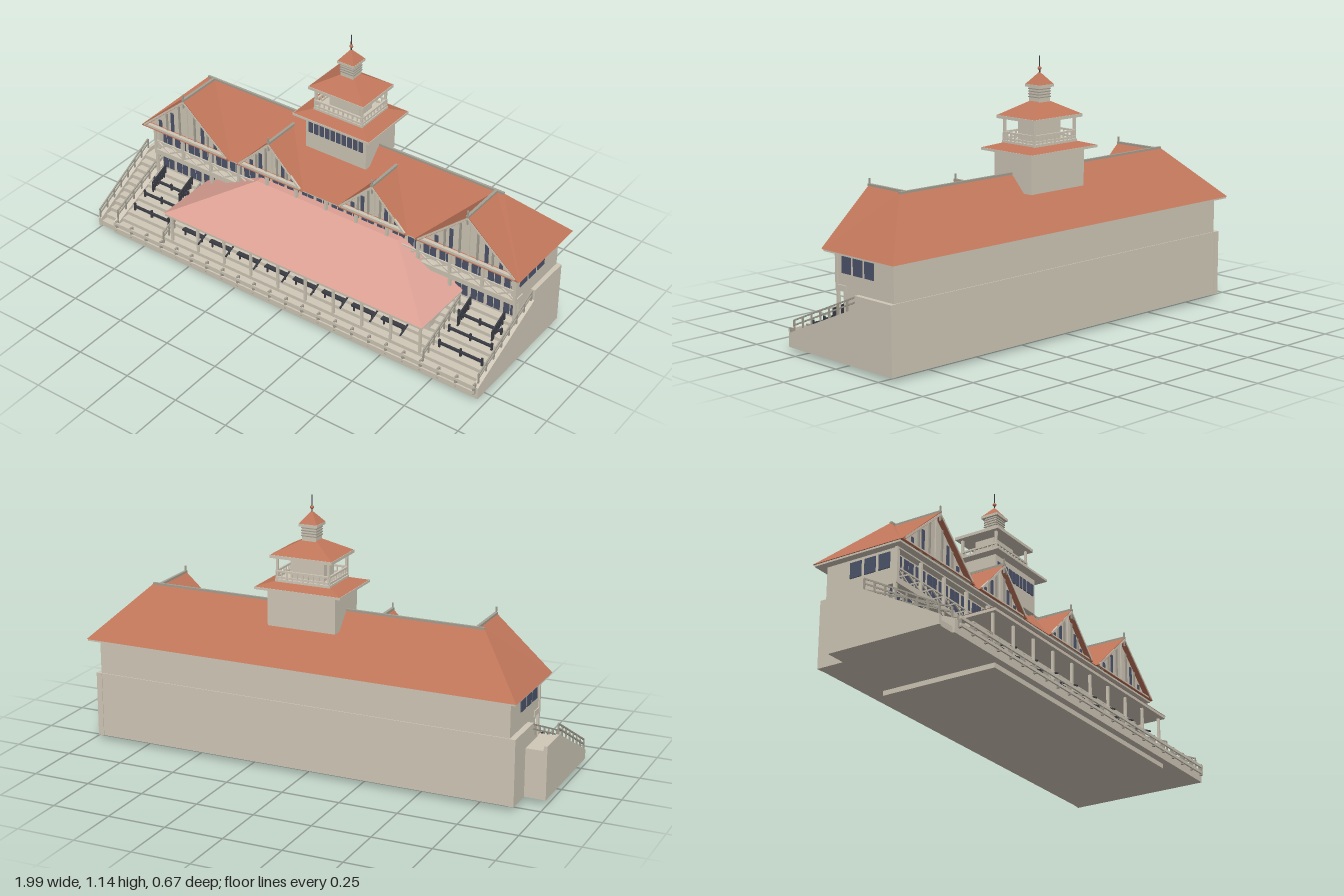
import * as THREE from 'three';

const mat = (name, color) => Object.assign(new THREE.MeshStandardMaterial({ color }), { name });

export function createModel() {
  const cream = mat('cream plaster', 0xd0c8b8), tile = mat('terracotta tile', 0xc0765a);
  const pink = mat('pale canopy roof', 0xdca094), glass = mat('window blue', 0x4d556b);
  const iron = mat('dark iron', 0x3a3c44), trim = mat('grey trim', 0xa5a093);
  const model = new THREE.Group();
  model.name = 'grandstand';
  const CX = 0.038, TZ = -0.137; // middle of the building in x, tower centre in z

  const add = (name, geo, m, parent = model) => {
    const mesh = new THREE.Mesh(geo, m);
    mesh.name = name;
    parent.add(mesh);
    return mesh;
  };
  const group = (name) => {
    const g = new THREE.Group();
    g.name = name;
    model.add(g);
    return g;
  };
  // Box given by its limits
  const box = (name, x0, x1, y0, y1, z0, z1, m = cream, parent = model) => {
    const b = add(name, new THREE.BoxGeometry(x1 - x0, y1 - y0, z1 - z0), m, parent);
    b.position.set((x0 + x1) / 2, (y0 + y1) / 2, (z0 + z1) / 2);
    return b;
  };
  // Square bar between two points
  const bar = (name, a, b, w, m, parent = model) => {
    const p = new THREE.Vector3(...a), q = new THREE.Vector3(...b);
    const s = add(name, new THREE.BoxGeometry(w, w, p.distanceTo(q)), m, parent);
    s.position.copy(p).lerp(q, 0.5);
    s.lookAt(q);
    return s;
  };
  // Hipped solid between a lower and an upper rectangle [x0, x1, z0, z1]
  const hip = (name, lo, y0, hi, y1, m, parent = model) => {
    const ring = ([x0, x1, z0, z1], y) => [[x0, y, z1], [x1, y, z1], [x1, y, z0], [x0, y, z0]];
    const a = ring(lo, y0), b = ring(hi, y1), pos = [];
    const quad = (p, q, r, s) => [[p, q, r], [p, r, s]].forEach((t) => {
      const v = t.map((k) => new THREE.Vector3(...k));
      if (new THREE.Triangle(...v).getArea() > 1e-8) pos.push(...t.flat());
    });
    for (let i = 0; i < 4; i++) quad(a[i], a[(i + 1) % 4], b[(i + 1) % 4], b[i]);
    quad(b[0], b[1], b[2], b[3]);
    quad(a[3], a[2], a[1], a[0]);
    const g = new THREE.BufferGeometry();
    g.setAttribute('position', new THREE.Float32BufferAttribute(pos, 3));
    g.computeVertexNormals();
    return add(name, g, m, parent);
  };
  // Side profile of [z, y] points, swept from x0 to x1
  const sweep = (name, pts, x0, x1, m, parent = model) => {
    const s = new THREE.Shape(pts.map(([z, y]) => new THREE.Vector2(-z, y)));
    const g = new THREE.ExtrudeGeometry(s, { depth: x1 - x0, bevelEnabled: false });
    g.rotateY(Math.PI / 2).translate(x0, 0, 0);
    return add(name, g, m, parent);
  };
  const steps = (n, z0, y0, z1, y1, back, bottom) => {
    const pts = [[back, bottom], [z0, bottom]];
    for (let i = 0; i < n; i++) {
      const y = y0 + (y1 - y0) * i / (n - 1);
      pts.push([z0 + (z1 - z0) * i / n, y], [z0 + (z1 - z0) * (i + 1) / n, y]);
    }
    pts.push([back, y1]);
    return pts;
  };

  // Plinth, main body and seating tiers
  box('plinth', -0.6, 0.685, 0, 0.03, -0.22, 0.29);
  box('lowerStorey', -0.88, 0.955, 0.02, 0.3, -0.297, 0);
  sweep('seatingTiers', steps(9, 0.32, 0.07, 0.0, 0.2, -0.01, 0.02), -0.88, 0.955, cream);
  const wing = [[-0.3, 0.02], [0.32, 0.02], [0.32, 0.075], [0.3, 0.085], [-0.09, 0.25], [-0.09, 0.3], [-0.3, 0.3]];
  for (const x of [-0.905, 0.95]) sweep('endWall', wing, x, x + 0.025, cream);
  box('upperStorey', -0.88, 0.955, 0.3, 0.45, -0.293, 0.005);
  for (const [x0, x1] of [[-0.88, -0.86], [0.935, 0.955]]) box('galleryEnd', x0, x1, 0.3, 0.45, 0, 0.035);

  // Side staircase on the right end, with landing
  sweep('sideStairs', steps(11, 0.31, 0.045, -0.03, 0.225, -0.18, 0.02), -0.985, -0.9, cream);
  sweep('stairWall', [[-0.18, 0.02], [0.315, 0.02], [0.315, 0.06], [-0.03, 0.245], [-0.18, 0.245]], -0.995, -0.98, cream);

  // Sloping handrails
  const rails = group('handrails');
  const slopeRail = (x, zA, yA, zB, yB, m) => {
    for (const h of [0.025, 0.045]) bar('rail', [x, yA + h, zA], [x, yB + h, zB], 0.006, m, rails);
    for (let i = 0; i <= 7; i++) {
      const t = i / 7, y = yA + (yB - yA) * t, z = zA + (zB - zA) * t;
      box('railPost', x - 0.003, x + 0.003, y - 0.01, y + 0.045, z - 0.003, z + 0.003, m, rails);
    }
  };
  for (const x of [-0.893, 0.963]) slopeRail(x, 0.3, 0.085, -0.085, 0.248, trim);
  slopeRail(-0.988, 0.31, 0.06, -0.03, 0.245, trim);
  for (const x of [-0.635, 0.705]) slopeRail(x, 0.3, 0.08, 0.04, 0.19, trim);

  // Dark barriers and benches on the open tiers
  const seats = group('tierBarriers');
  for (const [x0, x1] of [[-0.86, -0.67], [0.73, 0.93]]) {
    for (const [z, y] of [[0.23, 0.1], [0.16, 0.13], [0.09, 0.16]]) {
      box('bench', x0, x1, y + 0.022, y + 0.029, z - 0.012, z, iron, seats);
      for (const x of [x0, (x0 + x1) / 2, x1]) box('benchLeg', x - 0.004, x + 0.004, y - 0.01, y + 0.04, z - 0.012, z - 0.004, iron, seats);
    }
    for (const x of [x0 + 0.02, x1 - 0.02]) slopeRail(x, 0.12, 0.155, 0.03, 0.195, iron);
  }

  // Front fence
  const fence = group('frontFence');
  for (const y of [0.05, 0.078]) box('fenceBoard', -0.885, 0.965, y, y + 0.012, 0.327, 0.334, cream, fence);
  for (let i = 0; i <= 22; i++) {
    const x = -0.88 + i * 1.84 / 22;
    box('fencePost', x - 0.004, x + 0.004, 0.045, 0.095, 0.315, 0.332, trim, fence);
  }

  // Pavilion under the pale canopy
  const pav = group('pavilion');
  box('pavilionWall', -0.58, 0.655, 0.08, 0.232, -0.005, 0.18, cream, pav);
  for (let i = 0; i < 8; i++) {
    const x = -0.52 + i * 0.148;
    box('pavilionWindow', x - 0.035, x + 0.035, 0.105, 0.18, 0.178, 0.184, glass, pav);
    box('counter', x - 0.055, x + 0.055, 0.128, 0.136, 0.225, 0.245, iron, pav);
    for (const s of [-0.045, 0.045]) box('counterLeg', x + s - 0.003, x + s + 0.003, 0.08, 0.13, 0.232, 0.238, iron, pav);
    bar('tierRail', [x + 0.07, 0.135, 0.29], [x + 0.07, 0.175, 0.19], 0.006, iron, pav);
  }
  for (let i = 0; i <= 9; i++) {
    const x = -0.6 + i * 1.275 / 9;
    box('canopyPost', x - 0.005, x + 0.005, 0.07, 0.232, 0.275, 0.285, cream, pav);
  }
  box('canopyFascia', -0.618, 0.693, 0.223, 0.235, 0, 0.303, cream, pav);
  hip('canopyRoof', [-0.622, 0.697, 0, 0.306], 0.235, [-0.32, 0.4, 0, 0.04], 0.377, pink, pav);

  // Gallery: floor, posts, windows and crossed balustrade
  const gal = group('gallery');
  box('galleryFloor', -0.885, 0.96, 0.298, 0.322, -0.02, 0.042, cream, gal);
  box('galleryRail', -0.88, 0.955, 0.362, 0.368, 0.034, 0.04, cream, gal);
  box('galleryHeader', -0.88, 0.955, 0.443, 0.455, 0.02, 0.042, cream, gal);
  const bays = 24, bw = 1.835 / bays;
  for (let i = 0; i <= bays; i++) {
    const x = -0.88 + i * bw;
    if (i % 2 === 0) box('galleryPost', x - 0.006, x + 0.006, 0.3, 0.45, 0.03, 0.042, cream, gal);
    if (i % 4 === 0) box('lowerPost', x - 0.006, x + 0.006, 0.19, 0.3, 0.025, 0.037, cream, gal);
    if (i === bays) break;
    for (const [y0, y1, z] of [[0.335, 0.44, 0.004], [0.212, 0.29, -0.001]]) {
      box('galleryWindow', x + 0.009, x + bw / 2 - 0.003, y0, y1, z, z + 0.005, glass, gal);
      box('galleryWindow', x + bw / 2 + 0.003, x + bw - 0.009, y0, y1, z, z + 0.005, glass, gal);
    }
    bar('crossBrace', [x, 0.322, 0.036], [x + bw, 0.364, 0.036], 0.006, cream, gal);
    bar('crossBrace', [x, 0.364, 0.036], [x + bw, 0.322, 0.036], 0.006, cream, gal);
  }
  // End windows
  for (const z of [-0.021, -0.088, -0.155]) {
    box('endWindow', 0.953, 0.959, 0.37, 0.436, z - 0.026, z + 0.026, glass);
    box('endWindow', -0.884, -0.878, 0.37, 0.436, z - 0.026, z + 0.026, glass);
  }

  // Main hipped roof
  const roof = group('mainRoof');
  box('eaves', -0.912, 0.99, 0.449, 0.458, -0.332, 0.072, cream, roof);
  hip('roofSlopes', [-0.917, 0.995, -0.336, 0.076], 0.457, [-0.705, 0.783, -0.131, -0.129], 0.672, tile, roof);
  box('ridgeCap', -0.705, 0.783, 0.669, 0.678, -0.135, -0.125, trim, roof);

  // Half-timbered front gables
  const gable = (cx, w, top, back) => {
    const g = group('frontGable'), y0 = 0.457, h = top - y0;
    const tri = (hw, t, z0, z1, inner) => {
      const s = new THREE.Shape();
      s.moveTo(-hw, y0).lineTo(hw, y0).lineTo(0, t);
      if (inner) s.holes.push(new THREE.Path([[-hw * inner, y0 + 0.002], [0, y0 + h * inner], [hw * inner, y0 + 0.002]].map((p) => new THREE.Vector2(...p))));
      return new THREE.ExtrudeGeometry(s, { depth: z1 - z0, bevelEnabled: false }).translate(cx, 0, z0);
    };
    add('gableRoof', tri(w, top, back, 0.085, 0.92), tile, g);
    add('gableWall', tri(w * 0.94, y0 + h * 0.94, back + 0.03, 0.062), cream, g);
    box('gableSill', cx - w * 0.92, cx + w * 0.92, y0, y0 + 0.012, 0.06, 0.08, cream, g);
    // Panes and studs follow the slope
    for (const f of [-0.62, -0.34, 0.34, 0.62]) {
      const t = y0 + h * (0.84 - Math.abs(f));
      box('gablePane', cx + f * w - 0.008, cx + f * w + 0.008, y0 + 0.015, t, 0.06, 0.066, glass, g);
    }
    for (const f of [-0.46, -0.17, 0, 0.17, 0.46]) {
      box('gableStud', cx + f * w - 0.004, cx + f * w + 0.004, y0, y0 + h * (0.9 - Math.abs(f)), 0.06, 0.068, f === 0 ? cream : trim, g);
    }
    for (const s of [-1, 1]) bar('bargeboard', [cx + s * w * 0.93, y0 + 0.008, 0.083], [cx, y0 + h * 0.95, 0.083], 0.008, cream, g);
    box('gableRidgeCap', cx - 0.006, cx + 0.006, top - 0.006, top + 0.004, back, 0.087, trim, g);
    box('gableFinial', cx - 0.003, cx + 0.003, top - 0.04, top + 0.025, 0.08, 0.086, trim, g);
  };
  for (const s of [-1, 1]) {
    gable(CX + s * 0.711, 0.243, 0.674, -0.13);
    gable(CX + s * 0.26, 0.172, 0.634, -0.098);
  }

  // Tower
  const tower = group('tower');
  const rect = (hx, hz) => [CX - hx, CX + hx, TZ - hz, TZ + hz];
  const block = (name, hx, hz, y0, y1, m = cream) => box(name, CX - hx, CX + hx, y0, y1, TZ - hz, TZ + hz, m, tower);
  block('towerBase', 0.15, 0.105, 0.6, 0.762);
  for (let i = 0; i < 10; i++) {
    const x = CX - 0.126 + i * 0.028;
    box('towerWindow', x - 0.01, x + 0.01, 0.678, 0.73, TZ + 0.103, TZ + 0.109, glass, tower);
  }
  block('lowerEaves', 0.19, 0.144, 0.758, 0.768);
  hip('lowerTowerRoof', rect(0.188, 0.142), 0.768, rect(0.12, 0.085), 0.787, tile, tower);
  block('balconyFloor', 0.122, 0.092, 0.782, 0.795);
  block('lanternRoom', 0.075, 0.046, 0.79, 0.89);
  block('middleEaves', 0.137, 0.108, 0.885, 0.898);
  hip('middleTowerRoof', rect(0.135, 0.106), 0.898, rect(0.002, 0.002), 0.968, tile, tower);
  for (const sx of [-1, 1]) for (const sz of [-1, 1]) {
    const x = CX + sx * 0.114, z = TZ + sz * 0.084;
    box('balconyPost', x - 0.005, x + 0.005, 0.79, 0.89, z - 0.005, z + 0.005, cream, tower);
  }
  // Balcony balustrade
  const balustrade = (a, b, n) => {
    const at = (t, y) => [a[0] + (b[0] - a[0]) * t, y, a[1] + (b[1] - a[1]) * t];
    for (const y of [0.803, 0.828]) bar('balconyRail', at(0, y), at(1, y), 0.008, cream, tower);
    for (let i = 0; i <= n; i++) bar('baluster', at(i / n, 0.79), at(i / n, 0.826), 0.005, cream, tower);
  };
  for (const s of [-1, 1]) {
    balustrade([CX - 0.117, TZ + s * 0.088], [CX + 0.117, TZ + s * 0.088], 10);
    balustrade([CX + s * 0.117, TZ - 0.088], [CX + s * 0.117, TZ + 0.088], 8);
  }
  // Louvred cupola and finial
  block('cupola', 0.031, 0.029, 0.93, 1.015);
  for (let i = 0; i < 4; i++) block('louvre', 0.034, 0.032, 0.968 + i * 0.011, 0.972 + i * 0.011, trim);
  block('topEaves', 0.041, 0.041, 1.01, 1.021);
  hip('topRoof', rect(0.04, 0.04), 1.021, rect(0.002, 0.002), 1.068, tile, tower);
  add('finialRod', new THREE.CylinderGeometry(0.002, 0.003, 0.075, 8), iron, tower).position.set(CX, 1.098, TZ);
  add('finialBall', new THREE.SphereGeometry(0.008, 12, 8), tile, tower).position.set(CX, 1.084, TZ);
  return model;
}
